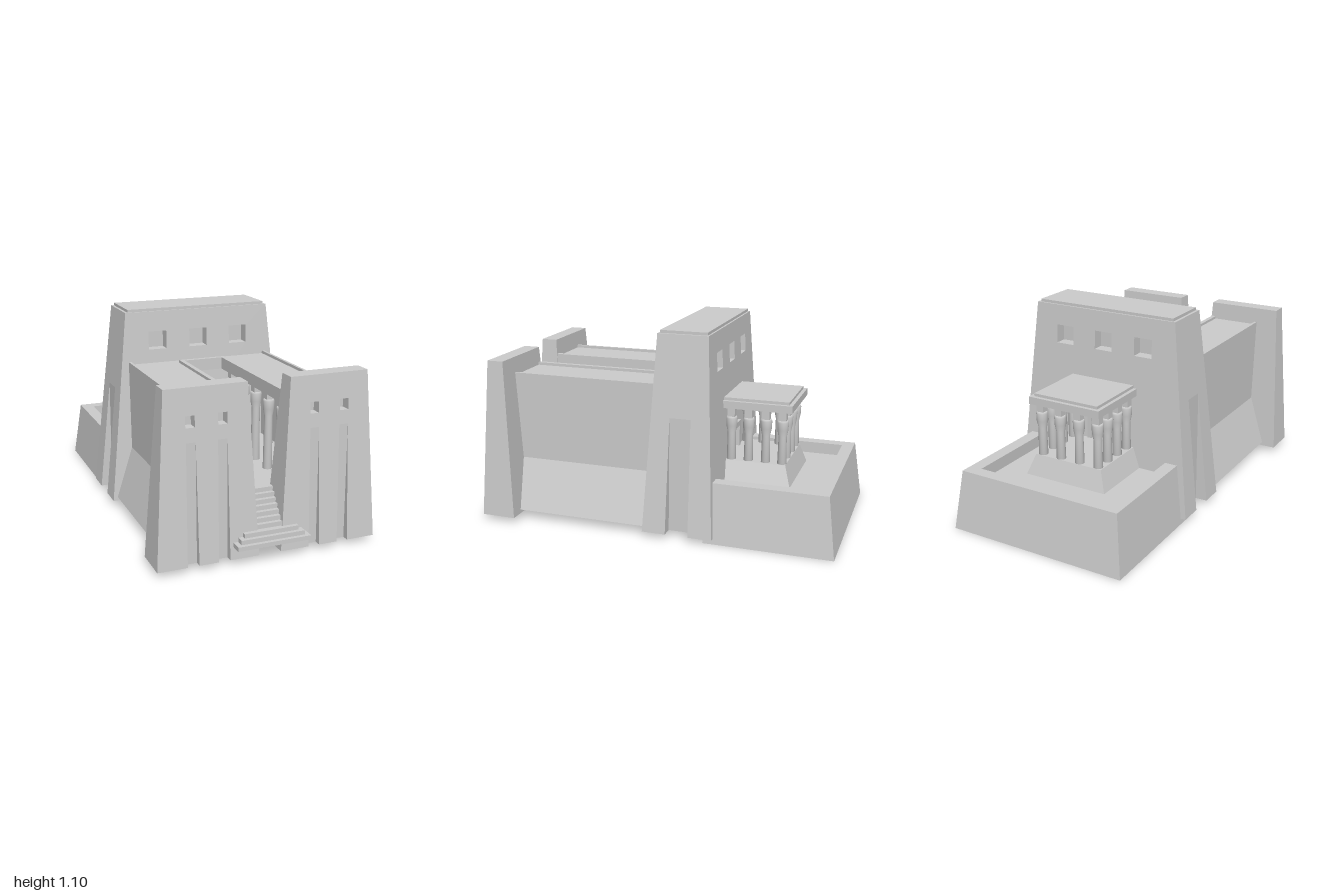
import * as THREE from 'three';

const grey = new THREE.MeshStandardMaterial({ color: 0xcccccc, side: THREE.DoubleSide, flatShading: true });
const smooth = new THREE.MeshStandardMaterial({ color: 0xcccccc });

function add(parent, name, geometry, material = grey) {
  const mesh = new THREE.Mesh(geometry, material);
  mesh.name = name;
  parent.add(mesh);
  return mesh;
}

// Box given by its limits on each axis
function box(parent, name, x0, x1, y0, y1, z0, z1) {
  const mesh = add(parent, name, new THREE.BoxGeometry(x1 - x0, y1 - y0, z1 - z0));
  mesh.position.set((x0 + x1) / 2, (y0 + y1) / 2, (z0 + z1) / 2);
  return mesh;
}

// Extrude an outline (with optional holes) from z0 to z1
function slab(parent, name, points, z0, z1, holes = []) {
  const v = list => list.map(p => new THREE.Vector2(...p));
  const shape = new THREE.Shape(v(points));
  holes.forEach(h => shape.holes.push(new THREE.Path(v(h))));
  const geometry = new THREE.ExtrudeGeometry(shape, { depth: z1 - z0, bevelEnabled: false });
  return add(parent, name, geometry.translate(0, 0, z0));
}

function fromTriangles(tris) {
  const g = new THREE.BufferGeometry();
  g.setAttribute('position', new THREE.Float32BufferAttribute(tris.flat(2), 3));
  g.computeVertexNormals();
  return g;
}

// One leaning wall facing +z: half widths w, distances d, height h (bottom, top).
// grooves: [x0, x1, back plane] run up until they meet the slope; windows: [x0, x1, y0, y1, depth]
function wallGeometry([w0, w1], [d0, d1], h, grooves = [], windows = []) {
  const tris = [];
  const quad = (a, b, c, d) => tris.push([a, b, c], [a, c, d]);
  const zAt = y => d0 + (d1 - d0) * y / h;
  const outline = [[-w0, 0]];
  for (const [x0, x1, zb] of grooves) {
    const top = h * (zb - d0) / (d1 - d0), t = 0.006;
    outline.push([x0, 0], [x0 + t, top], [x1 - t, top], [x1, 0]);
    quad([x0, 0, zb], [x1, 0, zb], [x1 - t, top, zb], [x0 + t, top, zb]);
    tris.push([[x0, 0, d0], [x0, 0, zb], [x0 + t, top, zb]]);
    tris.push([[x1, 0, zb], [x1, 0, d0], [x1 - t, top, zb]]);
  }
  outline.push([w0, 0], [w1, h], [-w1, h]);
  const holes = windows.map(([x0, x1, y0, y1, depth]) => {
    const loop = [[x0, y0], [x0, y1], [x1, y1], [x1, y0]];
    const zb = zAt(y1) - depth;
    loop.forEach(([x, y], i) => {
      const [nx, ny] = loop[(i + 1) % 4];
      quad([x, y, zAt(y)], [x, y, zb], [nx, ny, zb], [nx, ny, zAt(ny)]);
    });
    quad([x0, y0, zb], [x1, y0, zb], [x1, y1, zb], [x0, y1, zb]);
    return loop;
  });
  const v = list => list.map(p => new THREE.Vector2(...p));
  const all = [...outline, ...holes.flat()];
  for (const face of THREE.ShapeUtils.triangulateShape(v(outline), holes.map(v)))
    tris.push(face.map(i => [all[i][0], all[i][1], zAt(all[i][1])]));
  return fromTriangles(tris);
}

// Tapering tower, open underneath; each side may have its own grooves and windows
function tower(parent, name, [x, y, z], wx, wz, h, sides = {}, top = true) {
  const g = new THREE.Group();
  g.name = name;
  g.position.set(x, y, z);
  ['front', 'left', 'back', 'right'].forEach((side, i) => {
    const { grooves, windows } = sides[side] || {};
    const geometry = i % 2 ? wallGeometry(wz, wx, h, grooves, windows) : wallGeometry(wx, wz, h, grooves, windows);
    add(g, side + 'Wall', geometry).rotation.y = i * Math.PI / 2;
  });
  if (top) add(g, 'top', new THREE.PlaneGeometry(2 * wx[1], 2 * wz[1]).rotateX(-Math.PI / 2).translate(0, h, 0));
  parent.add(g);
  return g;
}

// Round column with a swelling capital and a square block on top
function column(parent, x, z, y0, y1) {
  const cap = y1 - 0.14, neck = y1 - 0.05;
  const profile = [[0, y0], [0.025, y0], [0.022, cap], [0.03, cap + 0.04], [0.031, neck - 0.01], [0.026, neck], [0, neck]];
  const lathe = new THREE.LatheGeometry(profile.map(p => new THREE.Vector2(...p)), 20);
  add(parent, 'column', lathe, smooth).position.set(x, 0, z);
  box(parent, 'columnBlock', x - 0.02, x + 0.02, neck, y1, z - 0.02, z + 0.02);
}

export function createModel() {
  const temple = new THREE.Group();
  temple.name = 'temple';

  // Two entrance towers with grooves and small windows
  const frontFace = {
    grooves: [[-0.11, -0.05, 0.06], [0.05, 0.11, 0.06]],
    windows: [[-0.105, -0.058, 0.68, 0.737, 0.05], [0.058, 0.105, 0.68, 0.737, 0.05]],
  };
  for (const s of [-1, 1])
    tower(temple, 'entranceTower', [s * 0.322, 0.03, 0.85], [0.263, 0.21], [0.095, 0.045], 0.87, { front: frontFace });

  // Large middle tower with windows, doors and side grooves
  const openings = [-0.24, 0, 0.24].map(x => [x - 0.052, x + 0.052, 0.845, 0.945, 0.06]);
  const sideFace = { grooves: [[-0.063, 0.063, 0.465]] };
  tower(temple, 'mainTower', [0, 0.03, -0.1725], [0.53, 0.42], [0.1925, 0.1375], 1.055, {
    front: { windows: [...openings, [-0.075, 0.075, 0.29, 0.52, 0.06]] },
    back: { windows: [...openings, [-0.06, 0.06, 0.34, 0.46, 0.06]] },
    left: sideFace,
    right: sideFace,
  });
  box(temple, 'mainTowerCap', -0.405, 0.405, 1.085, 1.1, -0.3, -0.045);

  // Door surrounds
  slab(temple, 'courtDoorFrame', [[-0.12, 0.31], [0.12, 0.31], [0.12, 0.55], [0, 0.61], [-0.12, 0.55]], -0.02, 0.025,
    [[[-0.075, 0.32], [-0.075, 0.55], [0.075, 0.55], [0.075, 0.32]]]);
  slab(temple, 'rearDoorFrame', [[-0.085, 0.365], [0.085, 0.365], [0.085, 0.52], [-0.085, 0.52]], -0.355, -0.32,
    [[[-0.06, 0.37], [-0.06, 0.49], [0.06, 0.49], [0.06, 0.37]]]);

  // Court: walls with sloping foot, roof on both sides of a long opening
  for (const s of [-1, 1]) {
    const section = [[0.505, 0.05], [0.41, 0.33], [0.41, 0.815], [0.395, 0.815], [0.395, 0.8],
      [0.11, 0.8], [0.11, 0.75], [0.39, 0.75], [0.39, 0.32], [0.485, 0.05]];
    slab(temple, 'courtWallAndRoof', section.map(([x, y]) => [s * x, y]), -0.02, 0.8);
    const inner = s * 0.11, outer = s * 0.135;
    box(temple, 'openingRim', Math.min(inner, outer), Math.max(inner, outer), 0.8, 0.815, 0.03, 0.8);
    for (let i = 0; i < 5; i++) column(temple, s * 0.165, 0.09 + i * 0.155, 0.3, 0.75);
  }
  box(temple, 'roofRear', -0.11, 0.11, 0.75, 0.8, -0.02, 0.055);
  box(temple, 'openingRimRear', -0.11, 0.11, 0.8, 0.815, 0.03, 0.055);
  box(temple, 'courtFloor', -0.39, 0.39, 0.3, 0.32, -0.02, 0.79);

  // Stairs: three wide landing steps, then a narrow flight up to the court
  for (let i = 0; i < 3; i++) {
    const w = 0.195 - i * 0.025, y = 0.095 + i * 0.022;
    box(temple, 'landingStep', -w, w, y, y + 0.022, 0.9, 1 - i * 0.02);
  }
  for (let i = 0; i < 7; i++) {
    const y = 0.184 + i * 0.0227, z = 0.93 - i * 0.021;
    box(temple, 'stairStep', -0.09, 0.09, y - 0.045, y, z - 0.042, z);
  }

  // Rear terrace: sloping outside, flat rim and sunken floor
  const slopes = [];
  const ring = [[0.505, 0, -1], [0.465, 0.325, -0.957], [0.395, 0.325, -0.89], [0.395, 0.26, -0.89]];
  const path = ([x, y, z]) => [[-x, y, -0.31], [-x, y, z], [x, y, z], [x, y, -0.31]];
  for (let i = 0; i < 3; i++) {
    const a = path(ring[i]), b = path(ring[i + 1]);
    for (let j = 0; j < 3; j++) slopes.push([a[j], b[j], b[j + 1]], [a[j], b[j + 1], a[j + 1]]);
  }
  const [p, q, r, t] = path(ring[3]);
  slopes.push([p, r, q], [p, t, r]);
  // inner end wall below the main tower
  const [e, , , f] = path(ring[0]), [g, , , k] = path([0.465, 0.26, 0]);
  slopes.push([e, f, k], [e, k, g]);
  add(temple, 'terrace', fromTriangles(slopes));

  // Kiosk on the terrace: plinth, columns on three sides, flat roof
  tower(temple, 'kioskPlinth', [0, 0.26, -0.505], [0.24, 0.2], [0.205, 0.17], 0.11);
  const zs = [-0.37, -0.465, -0.56, -0.65], xs = [-0.17, -0.057, 0.057, 0.17];
  for (const z of zs) for (const x of xs)
    if (Math.abs(x) > 0.1 || z === -0.65) column(temple, x, z, 0.37, 0.66);
  box(temple, 'kioskRoof', -0.21, 0.21, 0.66, 0.7, -0.705, -0.31);
  box(temple, 'kioskRoofCap', -0.19, 0.19, 0.7, 0.715, -0.685, -0.31);

  return temple;
}
